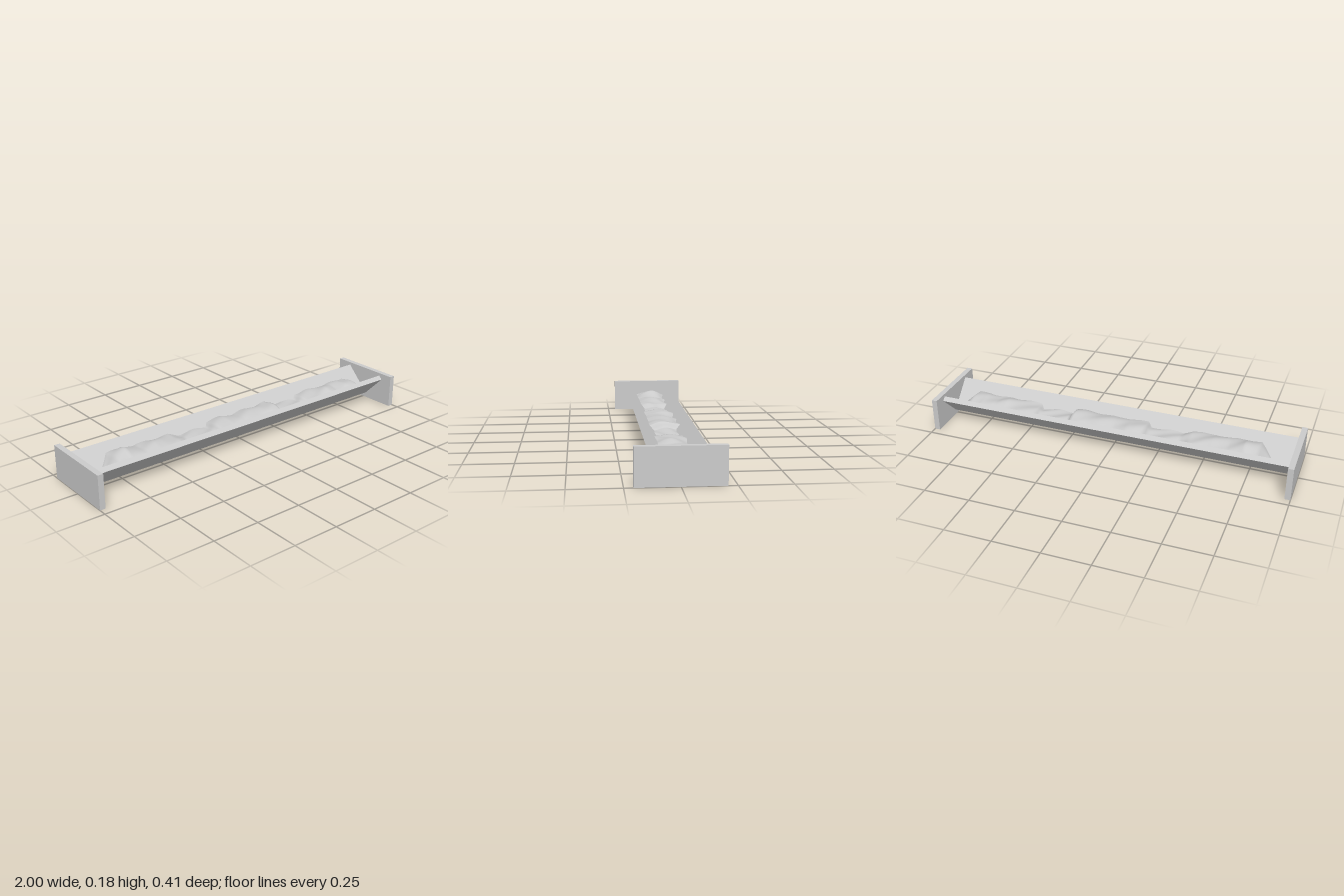
import * as THREE from 'three';

const SEAM = 0.047; // height of the inside corner of the V

// Feed heap stations along x: [x, half width, crown height]
const HEAP = [
  [-0.88, 0.002, 0.049], [-0.79, 0.078, 0.135], [-0.72, 0.08, 0.155], [-0.63, 0.073, 0.132],
  [-0.55, 0.077, 0.138], [-0.5, 0.073, 0.136], [-0.42, 0.074, 0.128], [-0.37, 0.06, 0.108],
  [-0.28, 0.062, 0.11], [-0.19, 0.058, 0.107], [-0.17, 0.076, 0.13], [-0.08, 0.078, 0.14],
  [0.0, 0.072, 0.132], [0.08, 0.077, 0.138], [0.16, 0.075, 0.142], [0.24, 0.08, 0.138],
  [0.26, 0.06, 0.112], [0.35, 0.06, 0.108], [0.44, 0.053, 0.1], [0.46, 0.072, 0.118],
  [0.56, 0.074, 0.13], [0.64, 0.073, 0.136], [0.7, 0.069, 0.126], [0.78, 0.076, 0.138],
  [0.85, 0.074, 0.126], [0.94, 0.002, 0.049],
];

function heapAt(x) {
  let i = 0;
  while (i < HEAP.length - 2 && x > HEAP[i + 1][0]) i++;
  const [a, b] = [HEAP[i], HEAP[i + 1]];
  const t = THREE.MathUtils.clamp((x - a[0]) / (b[0] - a[0]), 0, 1);
  return [a[1] + (b[1] - a[1]) * t, a[2] + (b[2] - a[2]) * t];
}

// Lumpy sheet whose long edges rest on the two sloping boards
function heapGeometry() {
  const geo = new THREE.PlaneGeometry(1.82, 1, 182, 12).rotateX(-Math.PI / 2);
  const pos = geo.attributes.position;
  for (let i = 0; i < pos.count; i++) {
    const x = pos.getX(i) + 0.03;
    const s = pos.getZ(i) * 2; // -1 at the back edge, 1 at the front edge
    const [w, crown] = heapAt(x);
    const half = w + 0.003 * Math.sin(x * 38 + s) * Math.min(1, w / 0.05);
    const edge = SEAM + half - 0.002;
    const bulge = 1 - s * s;
    const lump = 0.005 * Math.sin(x * 31 + s * 2.5) * bulge * Math.min(1, w / 0.05);
    pos.setXYZ(i, x, edge + (crown - edge) * bulge + lump, s * half);
  }
  geo.computeVertexNormals();
  return geo;
}

export function createModel() {
  const model = new THREE.Group();
  const grey = new THREE.MeshStandardMaterial({ color: 0xcccccc });
  const add = (name, geo, material = grey) => {
    const mesh = new THREE.Mesh(geo, material);
    mesh.name = name;
    model.add(mesh);
    return mesh;
  };

  // Upright end plates that the trough stands on
  for (const side of [1, -1]) {
    add(side > 0 ? 'leftEndPlate' : 'rightEndPlate', new THREE.BoxGeometry(0.03, 0.182, 0.414))
      .position.set(side * 0.985, 0.091, 0);
  }

  // Two boards at 45 degrees, meeting along their inside lower edges
  const thickness = 0.028;
  const width = 0.17;
  for (const side of [1, -1]) {
    const geo = new THREE.BoxGeometry(1.944, thickness, width);
    geo.translate(0, -thickness / 2, side * width / 2);
    const board = add(side > 0 ? 'frontBoard' : 'backBoard', geo);
    board.rotation.x = -side * Math.PI / 4;
    board.position.y = SEAM;
  }

  // Feed lying in the trough
  const feedMaterial = new THREE.MeshStandardMaterial({ color: 0xcccccc, side: THREE.DoubleSide });
  add('feedHeap', heapGeometry(), feedMaterial);

  return model;
}
